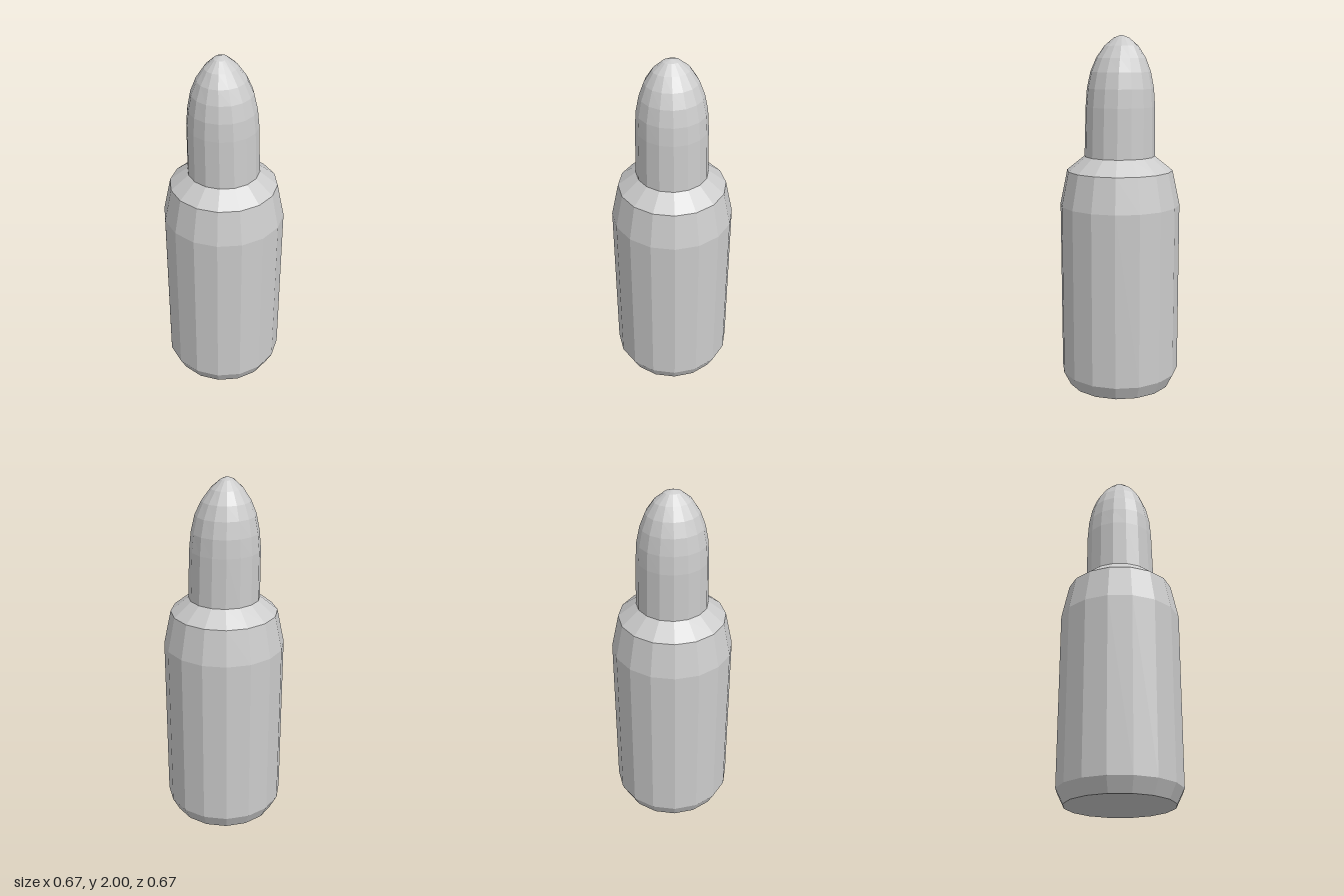
import * as THREE from 'three';

const SIDES = 16;

// Faceted lathe with flat faces centred on the axes; points are [radius, height]
function facetedLathe(points) {
  const profile = points.map(([r, y]) => new THREE.Vector2(r, y));
  return new THREE.LatheGeometry(profile, SIDES, Math.PI / SIDES, Math.PI * 2);
}

export function createModel() {
  const group = new THREE.Group();
  const material = new THREE.MeshStandardMaterial({ color: 0xcccccc, flatShading: true });

  // Casing: chamfered base, straight wall, tapered shoulder and neck rim
  const casing = new THREE.Mesh(facetedLathe([
    [0, 0], [0.3, 0], [0.34, 0.08], [0.34, 1.06], [0.299, 1.255], [0.199, 1.335],
  ]), material);
  casing.name = 'casing';
  group.add(casing);

  // Rounded tip: [radius, height, x offset, x scale] for each ring
  const rings = [
    [0.199, 1.335, 0, 1],
    [0.194, 1.61, -0.005, 1],
    [0.188, 1.71, -0.006, 0.98],
    [0.17, 1.8, -0.008, 0.97],
    [0.142, 1.875, -0.011, 0.93],
    [0.1, 1.94, -0.014, 0.86],
    [0.046, 1.985, -0.016, 0.78],
    [0, 2, -0.016, 1],
  ];
  const tipGeometry = facetedLathe(rings);

  // Lean the upper rings slightly to one side
  const position = tipGeometry.attributes.position;
  for (let i = 0; i < position.count; i++) {
    const [, , offset, scale] = rings[i % rings.length];
    position.setX(i, position.getX(i) * scale + offset);
  }
  tipGeometry.computeVertexNormals();

  const tip = new THREE.Mesh(tipGeometry, material);
  tip.name = 'roundedTip';
  group.add(tip);

  return group;
}
